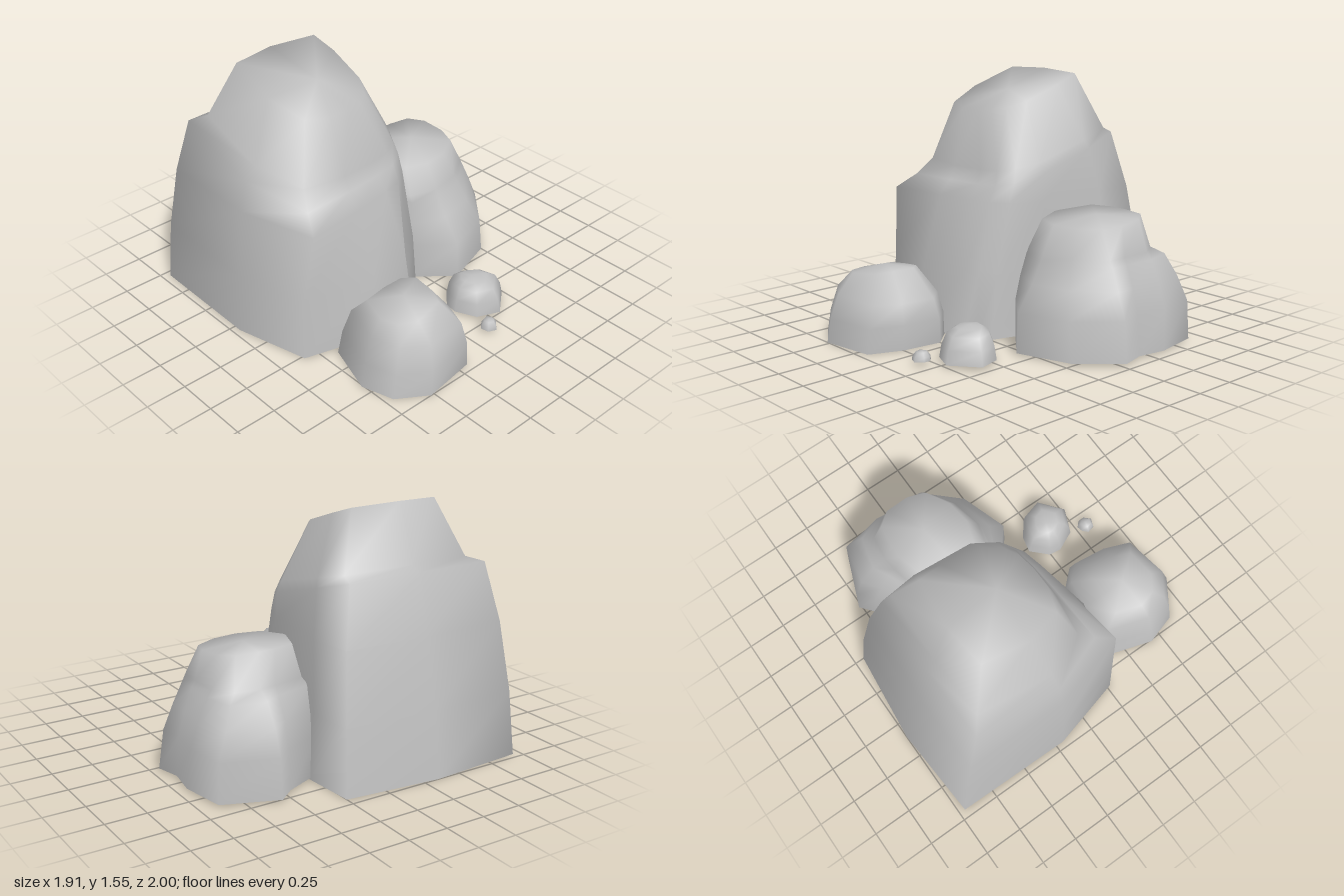
import * as THREE from 'three';

// Rocks are open underneath
const stone = new THREE.MeshStandardMaterial({ color: 0xbfbfbf, side: THREE.DoubleSide });
stone.name = 'grey stone';

// Lofts closed rings of [x, y, z] points, clockwise from above, under a slightly domed cap
function loft(name, rings, dome) {
  const n = rings[0].length;
  const top = rings[rings.length - 1];
  const peak = [0, 1, 2].map((k) => top.reduce((s, p) => s + p[k], 0) / n);
  peak[1] += dome;
  const index = [];
  for (let i = 0; i < n; i++) {
    const j = (i + 1) % n;
    for (let r = 0; r + 1 < rings.length; r++) {
      const lo = r * n, hi = lo + n;
      index.push(lo + i, hi + i, lo + j, lo + j, hi + i, hi + j);
    }
    const rim = (rings.length - 1) * n;
    index.push(rings.length * n, rim + j, rim + i);
  }
  const geo = new THREE.BufferGeometry();
  geo.setAttribute('position', new THREE.Float32BufferAttribute([...rings.flat(2), ...peak], 3));
  geo.setIndex(index);
  geo.computeVertexNormals();
  const mesh = new THREE.Mesh(geo, stone);
  mesh.name = name;
  return mesh;
}

// Ring from [x, z] pairs at height y, tilted along z
const ring = (y, tilt, pts) => pts.map(([x, z]) => [x, y + tilt * z, z]);

// Boulder whose rings are scaled copies of one outline: level = [y, scale, dx, tilt along x]
function boulder(name, outline, levels, dome) {
  const cx = outline.reduce((s, p) => s + p[0], 0) / outline.length;
  const cz = outline.reduce((s, p) => s + p[1], 0) / outline.length;
  const rings = levels.map(([y, s, dx = 0, tilt = 0]) => outline.map(([x, z]) =>
    [cx + (x - cx) * s + dx, y + tilt * (x - cx) * s, cz + (z - cz) * s]));
  return loft(name, rings, dome);
}

export function createModel() {
  const group = new THREE.Group();
  group.name = 'rockCluster';

  // Tall rock: square at the back, notched at the front, with a shoulder and a slanting top
  group.add(loft('tallRock', [
    ring(0, 0, [[-0.95, -0.96], [-0.35, -1], [0.25, -0.94], [0.28, -0.6], [0.2, -0.1], [0.1, 0.24],
      [-0.02, 0.25], [-0.04, 0.35], [-0.38, 0.4], [-0.84, 0.27], [-0.96, -0.2]]),
    ring(0.4, 0, [[-0.93, -0.92], [-0.35, -0.95], [0.23, -0.9], [0.25, -0.6], [0.19, -0.1], [0.1, 0.2],
      [-0.02, 0.23], [-0.07, 0.31], [-0.38, 0.37], [-0.82, 0.26], [-0.94, -0.2]]),
    ring(0.82, 0, [[-0.89, -0.85], [-0.35, -0.86], [0.19, -0.83], [0.22, -0.55], [0.19, -0.1], [0.1, 0.1],
      [0, 0.17], [-0.13, 0.2], [-0.38, 0.24], [-0.76, 0.29], [-0.89, -0.2]]),
    ring(0.95, -0.29, [[-0.83, -0.76], [-0.35, -0.77], [0.12, -0.75], [0.17, -0.5], [0.18, -0.1], [0.1, 0.06],
      [0, 0.12], [-0.14, 0.14], [-0.38, 0.16], [-0.7, 0.17], [-0.85, -0.2]]),
    ring(1.02, -0.26, [[-0.74, -0.69], [-0.35, -0.7], [0.11, -0.69], [0.15, -0.48], [0.15, -0.1], [0.08, 0.03],
      [-0.02, 0.09], [-0.15, 0.11], [-0.38, 0.12], [-0.65, 0.08], [-0.77, -0.2]]),
    ring(1.35, -0.34, [[-0.6, -0.56], [-0.33, -0.59], [-0.02, -0.56], [0, -0.4], [-0.02, -0.15], [-0.08, -0.04],
      [-0.16, 0.01], [-0.26, 0.03], [-0.4, 0.03], [-0.55, -0.02], [-0.62, -0.25]]),
  ], 0.02));

  // Medium rock: a fold on the outer side and a shoulder at the back
  group.add(loft('mediumRock', [
    ring(0.01, 0, [[0.2, -0.58], [0.46, -0.69], [0.56, -0.77], [0.89, -0.64], [0.94, -0.36], [0.91, -0.18],
      [0.95, -0.03], [0.74, 0.2], [0.4, 0.31], [0.18, 0.12], [0.1, -0.2]]),
    ring(0.25, 0, [[0.2, -0.57], [0.46, -0.67], [0.56, -0.75], [0.88, -0.63], [0.92, -0.38], [0.89, -0.18],
      [0.92, -0.04], [0.71, 0.2], [0.4, 0.3], [0.18, 0.12], [0.11, -0.2]]),
    ring(0.4, 0, [[0.2, -0.54], [0.45, -0.62], [0.56, -0.7], [0.82, -0.6], [0.87, -0.38], [0.85, -0.18],
      [0.86, -0.05], [0.65, 0.13], [0.4, 0.19], [0.2, 0.1], [0.13, -0.2]]),
    ring(0.53, 0, [[0.22, -0.5], [0.45, -0.55], [0.55, -0.6], [0.76, -0.55], [0.81, -0.38], [0.8, -0.18],
      [0.8, -0.06], [0.61, 0.08], [0.4, 0.12], [0.22, 0.07], [0.16, -0.2]]),
    ring(0.57, 0, [[0.24, -0.46], [0.44, -0.5], [0.54, -0.51], [0.7, -0.49], [0.78, -0.37], [0.78, -0.18],
      [0.78, -0.06], [0.6, 0.06], [0.4, 0.1], [0.22, 0.05], [0.16, -0.2]]),
    ring(0.73, -0.09, [[0.28, -0.42], [0.42, -0.46], [0.52, -0.46], [0.66, -0.44], [0.73, -0.35], [0.74, -0.2],
      [0.7, -0.08], [0.56, 0], [0.4, 0.02], [0.25, -0.03], [0.19, -0.2]]),
  ], 0.02));

  // Round boulder in front
  group.add(boulder('frontBoulder',
    [[-0.66, 0.36], [-0.4, 0.35], [-0.18, 0.38], [-0.07, 0.5], [-0.1, 0.75], [-0.18, 0.95],
      [-0.52, 1], [-0.7, 0.88], [-0.76, 0.68]],
    [[0, 1], [0.15, 0.96, 0.015], [0.29, 0.84, 0.025, -0.06], [0.42, 0.54, -0.01, 0.13]], 0.03));

  // Small stone
  group.add(boulder('smallStone',
    [[0.22, 0.39], [0.32, 0.41], [0.43, 0.49], [0.47, 0.63], [0.31, 0.76], [0.17, 0.7],
      [0.11, 0.57], [0.12, 0.49]],
    [[0.02, 1], [0.1, 0.92], [0.17, 0.74], [0.2, 0.45]], 0.01));

  // Pebble
  group.add(boulder('pebble',
    [[0.13, 0.77], [0.17, 0.76], [0.2, 0.79], [0.2, 0.83], [0.16, 0.87], [0.11, 0.85], [0.1, 0.8]],
    [[0.025, 1], [0.05, 0.93], [0.075, 0.6]], 0.005));

  return group;
}
